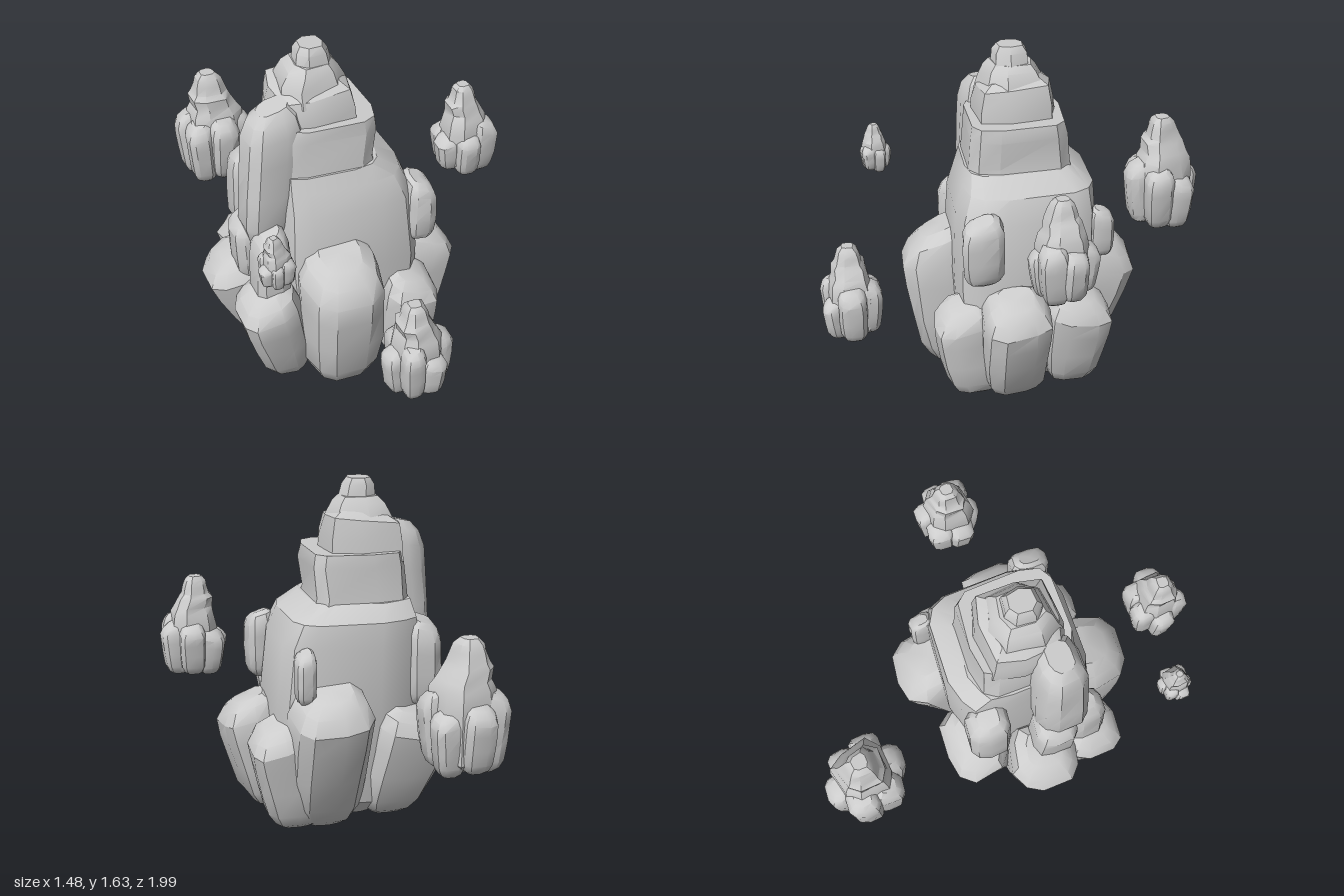
import * as THREE from 'three';
import { toCreasedNormals } from 'three/addons/utils/BufferGeometryUtils.js';

const material = new THREE.MeshStandardMaterial({ color: 0xcccccc });

function seeded(seed) {
  let s = seed * 7919 + 17;
  return () => {
    s = (s * 16807) % 2147483647;
    return s / 2147483647;
  };
}

// Loft through rings [y, x0, x1, z0, z1]; tilt = [dx, dz] is the fall of the top on that side
function rock(name, rings, { sides = 10, square = 3, rough = 0.06, seed = 1, tilt = [0, 0] } = {}) {
  const rnd = seeded(seed);
  for (let i = 0; i < 5; i++) rnd();
  const points = [], index = [];
  const turn = rnd() * 0.5;
  const wobble = Array.from({ length: sides }, () => 1 + (rnd() - 0.5) * 2 * rough);
  const power = (v) => Math.sign(v) * Math.abs(v) ** (2 / square);
  const yMin = rings[0][0], yMax = rings[rings.length - 1][0];
  rings.forEach(([y, x0, x1, z0, z1]) => {
    const t = (y - yMin) / (yMax - yMin);
    for (let j = 0; j < sides; j++) {
      const a = ((j + turn) / sides) * Math.PI * 2;
      const k = wobble[j] * (1 + (rnd() - 0.5) * rough);
      const dx = power(Math.cos(a)) * k * (x1 - x0) / 2, dz = power(Math.sin(a)) * k * (z1 - z0) / 2;
      points.push((x0 + x1) / 2 + dx, y - (tilt[0] * dx + tilt[1] * dz) * t * t, (z0 + z1) / 2 + dz);
    }
  });
  const last = (rings.length - 1) * sides, bottom = rings.length * sides, top = bottom + 1;
  for (const r of [rings[0], rings[rings.length - 1]]) points.push((r[1] + r[2]) / 2, r[0], (r[3] + r[4]) / 2);
  for (let j = 0; j < sides; j++) {
    const n = (j + 1) % sides;
    for (let i = 0; i < last; i += sides) {
      index.push(i + j, i + sides + j, i + n, i + n, i + sides + j, i + sides + n);
    }
    index.push(bottom, j, n, top, last + n, last + j);
  }
  const geometry = new THREE.BufferGeometry();
  geometry.setAttribute('position', new THREE.Float32BufferAttribute(points, 3));
  geometry.setIndex(index);
  const mesh = new THREE.Mesh(toCreasedNormals(geometry, 0.55), material);
  mesh.name = name;
  return mesh;
}

// Leaning boulder: bottom and top extents [x0, x1, z0, z1], rounded ends, top sloping outwards
function boulder(name, y0, y1, low, high, centre, seed, slope = 0.4) {
  const ring = (t, grow) => {
    const [x0, x1, z0, z1] = low.map((v, i) => v + (high[i] - v) * Math.min(1, t / 0.8));
    const ix = (x1 - x0) / 2 * (1 - grow), iz = (z1 - z0) / 2 * (1 - grow);
    return [y0 + (y1 - y0) * t, x0 + ix, x1 - ix, z0 + iz, z1 - iz];
  };
  const out = new THREE.Vector2((high[0] + high[1]) / 2 - centre[0], (high[2] + high[3]) / 2 - centre[1]);
  out.normalize().multiplyScalar(slope);
  const rings = [ring(0, 0.5), ring(0.05, 0.76), ring(0.16, 0.95), ring(0.4, 1), ring(0.65, 1), ring(0.83, 0.98), ring(0.94, 0.8), ring(1, 0.5)];
  return rock(name, rings, { seed, tilt: [out.x, out.y] });
}

// Small floating copy: stepped spire ringed by six boulders, one unit tall before scaling
function floatingCluster(name, x, y, z, height, seed) {
  const group = new THREE.Group();
  group.name = name;
  const ring = (h, r, dx = 0) => [h, dx - r, dx + r, -r, r];
  group.add(rock('spire', [
    ring(0.04, 0.14), ring(0.12, 0.22), ring(0.5, 0.23), ring(0.64, 0.21), ring(0.7, 0.18),
    ring(0.79, 0.17, -0.03), ring(0.83, 0.14, -0.03), ring(0.9, 0.12, -0.03),
    ring(0.96, 0.1, -0.03), ring(1, 0.06, -0.03),
  ], { seed, rough: 0.12, sides: 8 }));
  const rnd = seeded(seed + 40);
  rnd();
  for (let i = 0; i < 6; i++) {
    const a = (i / 6) * Math.PI * 2 + seed * 0.7;
    const r = 0.11 + rnd() * 0.04;
    const box = (d, s) => [Math.cos(a) * d - s, Math.cos(a) * d + s, Math.sin(a) * d - s, Math.sin(a) * d + s];
    group.add(boulder('baseBoulder', rnd() * 0.07, 0.46 + rnd() * 0.18, box(0.17, r * 0.95), box(0.21, r), [0, 0], seed * 10 + i));
  }
  group.position.set(x, y, z);
  group.scale.setScalar(height);
  return group;
}

export function createModel() {
  const model = new THREE.Group();
  model.name = 'rockFormation';

  // Central mass, rising in ledges
  model.add(rock('mainBody', [
    [0.06, -0.32, 0.18, -0.18, 0.28],
    [0.14, -0.4, 0.24, -0.26, 0.35],
    [0.6, -0.44, 0.25, -0.31, 0.37],
    [0.92, -0.43, 0.22, -0.32, 0.35],
    [1.03, -0.42, 0.17, -0.31, 0.31],
    [1.1, -0.41, 0.06, -0.22, 0.285],
  ], { sides: 14, square: 4.5, rough: 0.03, seed: 3 }));
  model.add(rock('upperBlock', [
    [1.0, -0.42, 0.07, -0.23, 0.29],
    [1.12, -0.41, 0.04, -0.21, 0.28],
    [1.26, -0.4, 0.06, -0.2, 0.27],
    [1.32, -0.38, 0.05, -0.19, 0.26],
  ], { sides: 11, square: 5, rough: 0.05, seed: 5 }));

  // Stacked slabs and the peak block
  model.add(rock('lowerTier', [
    [1.27, -0.41, -0.01, -0.17, 0.23],
    [1.37, -0.41, -0.02, -0.16, 0.22],
    [1.45, -0.39, -0.04, -0.14, 0.2],
    [1.48, -0.34, -0.08, -0.1, 0.16],
  ], { sides: 8, square: 3.2, rough: 0.06, seed: 8, tilt: [-0.15, 0.1] }));
  model.add(rock('upperTier', [
    [1.4, -0.36, -0.04, -0.14, 0.2],
    [1.47, -0.36, -0.05, -0.12, 0.18],
    [1.53, -0.32, -0.08, -0.09, 0.16],
    [1.56, -0.29, -0.11, -0.06, 0.13],
  ], { sides: 7, square: 3, rough: 0.07, seed: 21 }));
  model.add(rock('peak', [
    [1.5, -0.29, -0.1, -0.05, 0.13],
    [1.61, -0.28, -0.13, -0.04, 0.12],
    [1.64, -0.26, -0.15, -0.02, 0.1],
  ], { sides: 7, square: 2.6, seed: 9 }));

  // Boulders flaring out around the foot, and slabs clinging higher up
  const centre = [-0.12, 0.03];
  [
    ['frontBoulder', 0.01, 0.75, [-0.37, -0.02, 0.12, 0.53], [-0.39, -0.02, 0.18, 0.6]],
    ['frontLeftBoulder', 0.02, 0.51, [0.02, 0.27, 0.15, 0.43], [0.03, 0.29, 0.2, 0.49]],
    ['leftBoulder', 0.03, 0.59, [0.05, 0.34, -0.02, 0.28], [0.17, 0.46, -0.04, 0.29]],
    ['backLeftBoulder', 0.03, 0.55, [0.02, 0.28, -0.29, -0.03], [0.1, 0.37, -0.34, -0.03]],
    ['backBoulder', 0.02, 0.74, [-0.15, 0.17, -0.29, 0], [-0.17, 0.2, -0.52, -0.15]],
    ['backRightBoulder', 0.05, 0.61, [-0.44, -0.15, -0.28, 0], [-0.58, -0.2, -0.41, -0.1]],
    ['rightBoulder', 0.04, 0.63, [-0.52, -0.25, -0.12, 0.16], [-0.75, -0.42, -0.14, 0.2]],
    ['frontRightBoulder', 0.01, 0.57, [-0.54, -0.3, 0.1, 0.36], [-0.67, -0.38, 0.15, 0.44]],
    ['upperRightSlab', 0.74, 1.42, [-0.6, -0.36, 0, 0.27], [-0.55, -0.28, 0.02, 0.25], 0.25],
    ['frontRightSlab', 0.4, 0.86, [-0.59, -0.4, 0.16, 0.36], [-0.57, -0.41, 0.16, 0.36]],
    ['lowerRightSlab', 0.52, 0.87, [-0.62, -0.42, -0.02, 0.2], [-0.63, -0.42, 0, 0.2]],
    ['backRightSlab', 0.6, 1.01, [-0.55, -0.36, -0.3, -0.1], [-0.54, -0.36, -0.3, -0.1]],
    ['leftSlab', 0.65, 0.97, [0.15, 0.3, 0.16, 0.36], [0.16, 0.3, 0.16, 0.36]],
    ['backSlab', 0.68, 0.92, [0.08, 0.18, -0.38, -0.26], [0.08, 0.18, -0.38, -0.26]],
  ].forEach(([name, y0, y1, low, high, slope], i) => model.add(boulder(name, y0, y1, low, high, centre, i + 11, slope)));

  // Floating rocks around the formation
  model.add(floatingCluster('leftFloatingRock', 0.59, 0.77, -0.02, 0.46, 1));
  model.add(floatingCluster('backFloatingRock', -0.44, 0.5, -0.8, 0.59, 2));
  model.add(floatingCluster('frontFloatingRock', -0.03, 0.3, 0.855, 0.47, 3));
  model.add(floatingCluster('rightFloatingRock', -0.585, 0.89, 0.65, 0.24, 4));
  return model;
}
